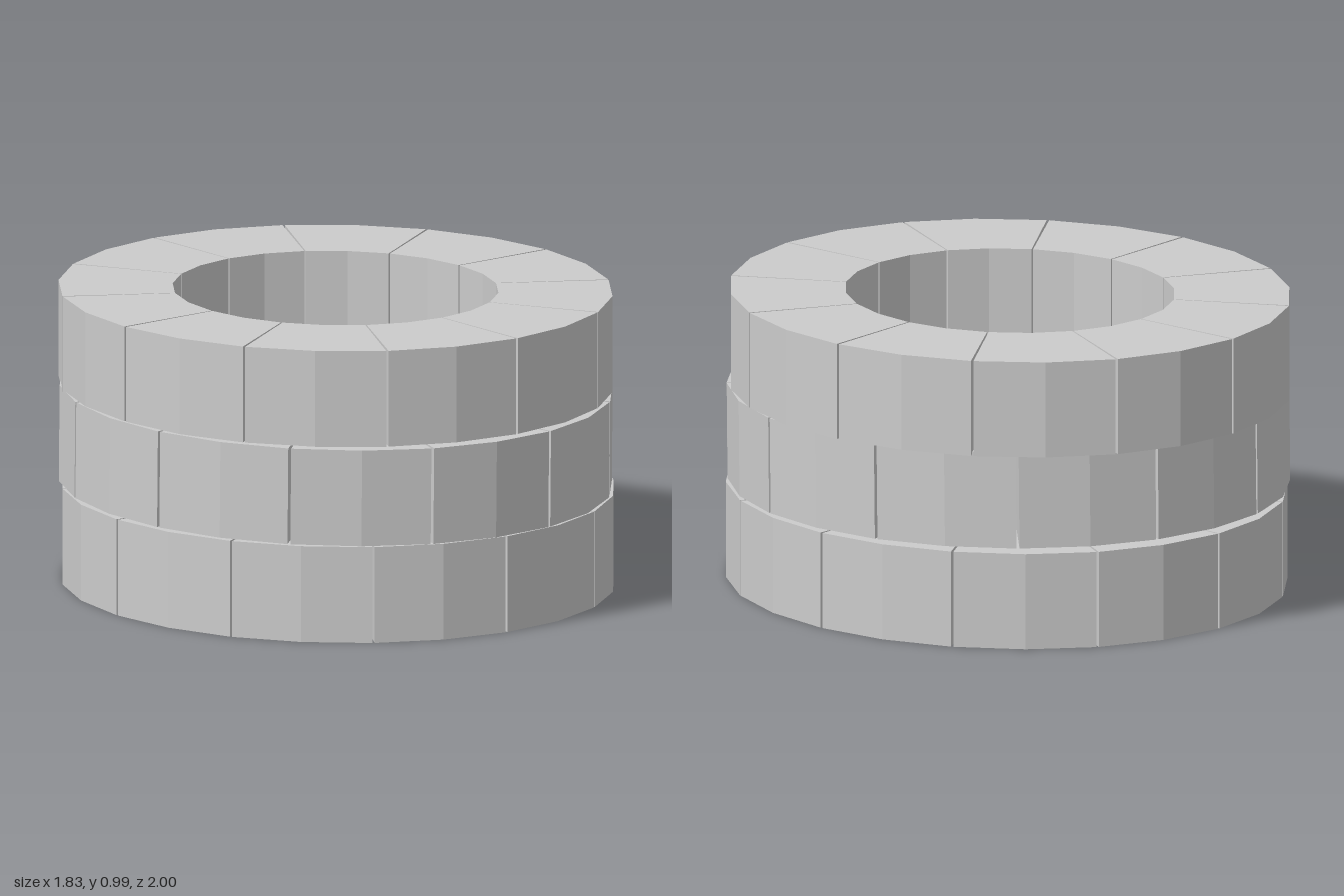
import * as THREE from 'three';

const STONES = 12;      // stones per course
const HEIGHT = 0.325;   // course height
const RX = 0.91, RZ = 0.99;   // outer half-widths of the oval
const INNER = 0.588;    // inner oval relative to the outer one
const RAD = Math.PI / 180;

const material = new THREE.MeshStandardMaterial({ color: 0xcccccc, flatShading: true });

// Point on the oval in plan; angle 0 faces the front
function ovalPoint(degrees, scale) {
  const t = degrees * RAD;
  return new THREE.Vector2(RX * scale * Math.sin(t), -RZ * scale * Math.cos(t));
}

// One wedge-shaped stone with two facets inside and out
function makeStone(start, end) {
  const angles = [start, (start + end) / 2, end];
  const outline = [
    ...angles.map(a => ovalPoint(a, 1)),
    ...angles.slice().reverse().map(a => ovalPoint(a, INNER)),
  ];
  const geometry = new THREE.ExtrudeGeometry(new THREE.Shape(outline), {
    depth: HEIGHT, bevelEnabled: false,
  });
  geometry.rotateX(-Math.PI / 2);
  return new THREE.Mesh(geometry, material);
}

// A full oval ring of stones separated by narrow joints
function makeCourse(name, phase, halfGap) {
  const course = new THREE.Group();
  course.name = name;
  const step = 360 / STONES;
  for (let i = 0; i < STONES; i++) {
    const a = phase + i * step;
    const stone = makeStone(a + halfGap, a + step - halfGap);
    stone.name = `${name}Stone${i + 1}`;
    course.add(stone);
  }
  return course;
}

export function createModel() {
  const model = new THREE.Group();
  model.name = 'stoneWellRing';

  const bottom = makeCourse('bottomCourse', 15, 0.25);
  bottom.position.set(0.005, 0, 0.01);

  // The middle course sits slightly tilted
  const middle = makeCourse('middleCourse', -2, 0.3);
  middle.position.set(-0.004, 0.337, 0.01);
  middle.rotation.set(0.01, 0, -0.005);

  const top = makeCourse('topCourse', 18.4, 0.25);
  top.position.set(0.005, 0.66, -0.012);

  model.add(bottom, middle, top);
  return model;
}
